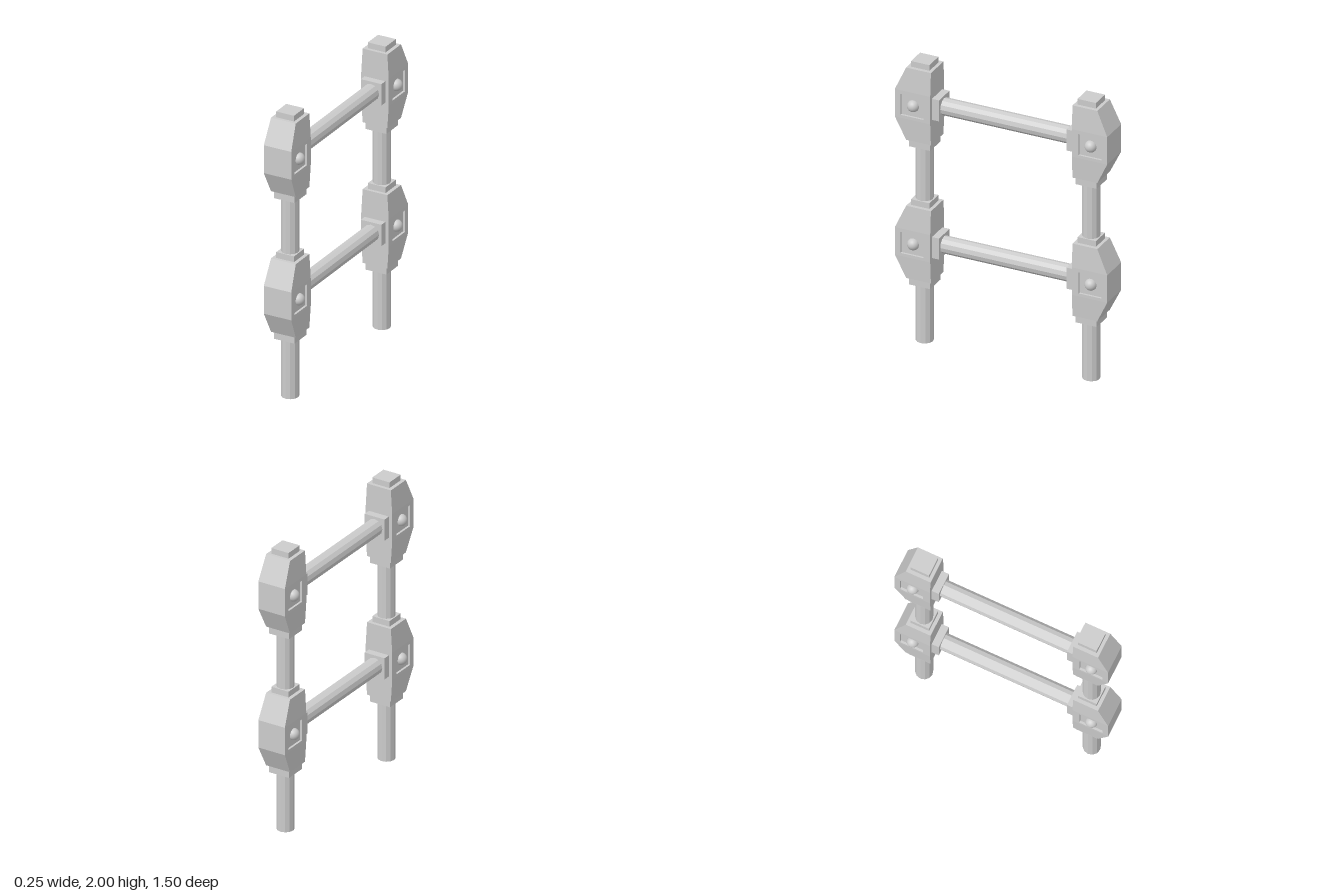
import * as THREE from 'three';

const grey = new THREE.MeshStandardMaterial({ color: 0xcccccc, flatShading: true });
const smoothGrey = new THREE.MeshStandardMaterial({ color: 0xcccccc });

const POST_Z = 0.588;   // post axis
const RADIUS = 0.058;   // pipe radius
const LEVELS = [0.71, 1.695]; // heights of the joint centres

function add(parent, name, geometry, x, y, z, material = grey) {
  const mesh = new THREE.Mesh(geometry, material);
  mesh.name = name;
  mesh.position.set(x, y, z);
  parent.add(mesh);
  return mesh;
}

// Vertical box whose top end is narrowed: half width in x, outer z
function taperedEnd(y0, y1, half0, half1, outer0, outer1) {
  const inner = 0.5;
  const geo = new THREE.BoxGeometry(2, 1, 1);
  const p = geo.attributes.position;
  for (let i = 0; i < p.count; i++) {
    const top = p.getY(i) > 0;
    const x = p.getX(i) * (top ? half1 : half0);
    const z = p.getZ(i) > 0 ? (top ? outer1 : outer0) : inner;
    p.setXYZ(i, x, top ? y1 : y0, z);
  }
  geo.computeVertexNormals();
  return geo;
}

// Side plate with a square window, forming the recess around the bolt
function windowPlate() {
  const s = new THREE.Shape();
  s.moveTo(-0.75, -0.095);
  s.lineTo(-0.5, -0.095);
  s.lineTo(-0.5, 0.1);
  s.lineTo(-0.75, 0.1);
  const h = new THREE.Path();
  h.moveTo(-0.71, -0.075);
  h.lineTo(-0.71, 0.075);
  h.lineTo(-0.548, 0.075);
  h.lineTo(-0.548, -0.075);
  s.holes.push(h);
  const geo = new THREE.ExtrudeGeometry(s, { depth: 0.015, bevelEnabled: false });
  return geo.rotateY(Math.PI / 2); // shape x becomes -z, depth becomes x
}

// Clamp joint, centred on y = 0
function makeJoint() {
  const g = new THREE.Group();
  g.name = 'joint';
  add(g, 'jointCore', new THREE.BoxGeometry(0.17, 0.195, 0.25), 0, 0.0025, 0.625);
  add(g, 'jointUpperTaper', taperedEnd(0.1, 0.265, 0.1, 0.09, 0.75, 0.675), 0, 0, 0);
  add(g, 'jointLowerTaper', taperedEnd(-0.25, -0.095, 0.09, 0.1, 0.675, 0.75), 0, 0, 0);
  for (const side of [-1, 1]) {
    add(g, 'windowPlate', windowPlate(), side > 0 ? 0.085 : -0.1, 0, 0);
    add(g, 'bolt', new THREE.SphereGeometry(0.04, 20, 14), side * 0.085, 0, 0.627, smoothGrey);
  }
  add(g, 'topCollar', new THREE.BoxGeometry(0.13, 0.05, 0.13), 0, 0.28, POST_Z);
  add(g, 'bottomCollar', new THREE.BoxGeometry(0.15, 0.06, 0.15), 0, -0.27, POST_Z);
  add(g, 'railCollar', new THREE.BoxGeometry(0.15, 0.15, 0.06), 0, 0, 0.48);
  return g;
}

// Upright pipe between two heights
function addPost(parent, y0, y1) {
  const geo = new THREE.CylinderGeometry(RADIUS, RADIUS, y1 - y0, 12);
  add(parent, 'post', geo, 0, (y0 + y1) / 2, POST_Z);
}

export function createModel() {
  const model = new THREE.Group();
  model.name = 'railing';

  // Two identical uprights facing away from each other
  for (const turn of [0, Math.PI]) {
    const upright = new THREE.Group();
    upright.name = turn ? 'backUpright' : 'frontUpright';
    upright.rotation.y = turn;
    for (const y of LEVELS) {
      const joint = makeJoint();
      joint.position.y = y;
      upright.add(joint);
    }
    addPost(upright, 0, 0.42);
    addPost(upright, 1.01, 1.41);
    model.add(upright);
  }

  // Horizontal rails
  for (const y of LEVELS) {
    const rail = new THREE.CylinderGeometry(RADIUS, RADIUS, 0.92, 12).rotateX(Math.PI / 2);
    add(model, 'rail', rail, 0, y, 0);
  }
  return model;
}
